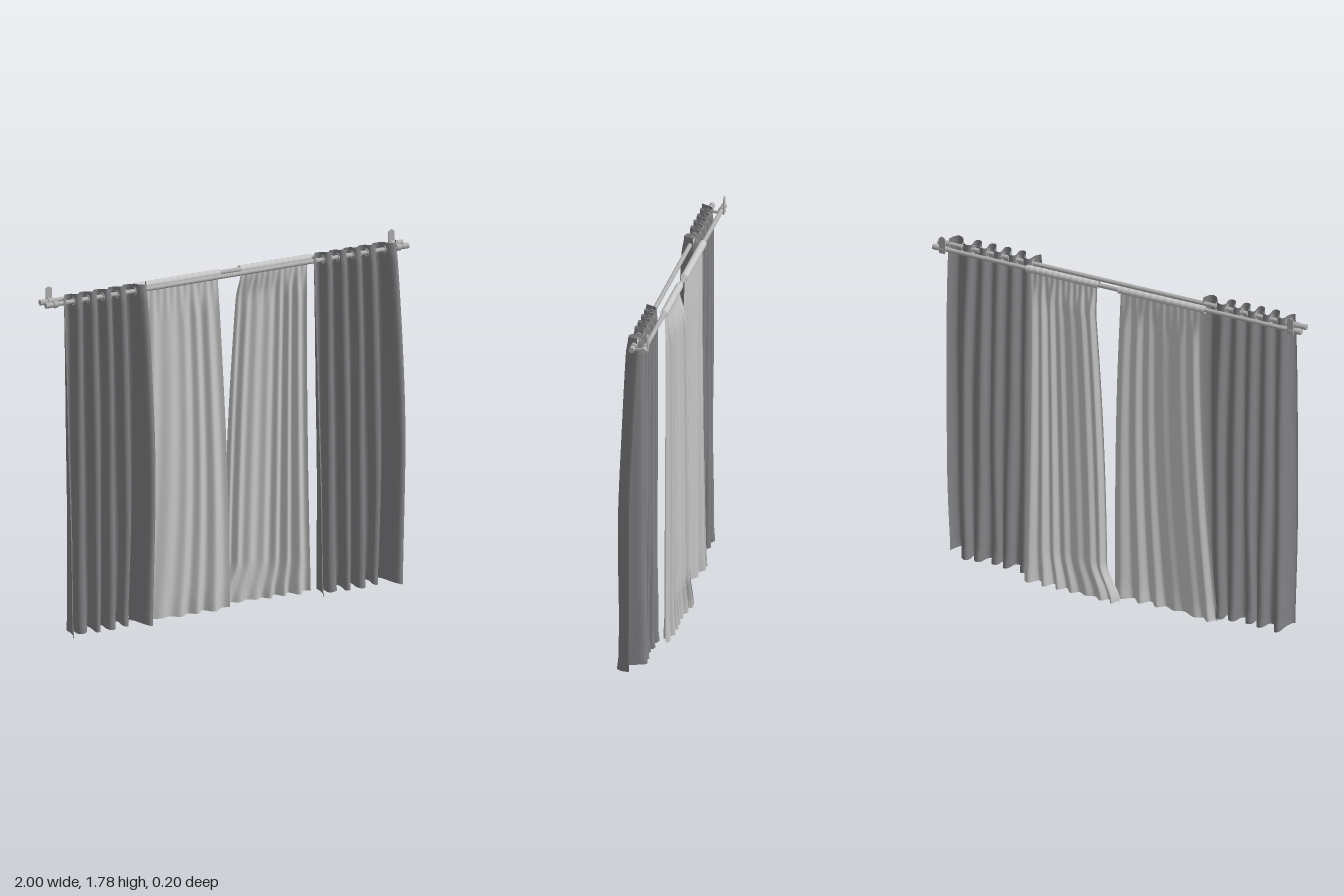
import * as THREE from 'three';

const heavyMat = new THREE.MeshStandardMaterial({ name: 'heavy drape grey', color: 0x828285, side: THREE.DoubleSide });
const sheerMat = new THREE.MeshStandardMaterial({ name: 'light curtain grey', color: 0xc8c8c8, side: THREE.DoubleSide });
const metalMat = new THREE.MeshStandardMaterial({ name: 'rod metal', color: 0xb0b0b0 });

const ROD_Y = 1.71, FRONT_Z = 0.01, BACK_Z = -0.048;
const { lerp, smoothstep } = THREE.MathUtils;

// Quadratic through a (v = 0), b (v = 0.5) and c (v = 1)
const quad = (a, b, c, v) => a * (1 - v) * (1 - 2 * v) + 4 * b * v * (1 - v) + c * v * (2 * v - 1);

function add(group, name, geometry, material, x = 0, y = 0, z = 0) {
  const mesh = new THREE.Mesh(geometry, material);
  mesh.name = name;
  mesh.position.set(x, y, z);
  group.add(mesh);
  return mesh;
}

// Smooth cloth sheet: at(u, v) gives [x, y, z]; u runs across, v runs down
function cloth(at, nu, nv) {
  const geo = new THREE.PlaneGeometry(1, 1, nu, nv);
  const pos = geo.attributes.position;
  for (let j = 0, i = 0; j <= nv; j++) {
    for (let k = 0; k <= nu; k++, i++) pos.setXYZ(i, ...at(k / nu, j / nv));
  }
  geo.computeVertexNormals();
  return geo;
}

function rodAlongX(radius, length, sides = 20) {
  return new THREE.CylinderGeometry(radius, radius, length, sides).rotateZ(Math.PI / 2);
}

// Heavy drape: pleats weaving round the front rod; c counts pleats across.
// The last, wide pleat turns back on itself at the edge.
const PLEATS = 5.42;
function pleatX(c) {
  if (c < 0.5) return lerp(0, 0.11, c / 0.5);
  if (c < 4.5) return lerp(0.11, 0.78, (c - 0.5) / 4);
  if (c < 5) return lerp(0.78, 0.93, (c - 4.5) / 0.5);
  return lerp(0.93, 1, Math.sin((c - 5) / (PLEATS - 5) * Math.PI / 2));
}

function drapePoint(c, v) {
  const p = c * Math.PI * 2, u = c / PLEATS;
  const left = quad(-0.92, -0.912, -0.895, v);
  const right = quad(-0.443, -0.413, -0.43, v);
  const inner = smoothstep(c, 0, 0.5) * (1 - smoothstep(c, 4.5, 5));
  const hem = smoothstep(v, 0.96, 1);
  const sway = 0.008 * v * Math.sin(u * 17 + v * 3);
  const x = lerp(left, right, pleatX(c)) + inner * (0.007 * Math.sin(2 * p) + sway);
  const amp = lerp(0.026, 0.034, smoothstep(v, 0, 0.05)) + 0.006 * v * Math.sin(u * 23 + 1) + 0.006 * hem;
  const flare = (1 - inner) * (0.008 + 0.04 * Math.sin(Math.min(v * 1.4, 1) * Math.PI / 2));
  const z = FRONT_Z + amp * Math.cos(p) + flare + 0.004 * v * Math.sin(v * 11 + u * 9);
  const top = 1.748 + 0.006 * Math.cos(p) * inner;
  const bottom = 0.02 + 0.006 * Math.sin(u * 31);
  return [x, lerp(top, bottom, v), z];
}

function makeDrape(name, offset) {
  const g = new THREE.Group();
  g.name = name;
  g.position.x = offset;
  add(g, 'drapeCloth', cloth((u, v) => drapePoint(u * PLEATS, v), 170, 80), heavyMat);
  // Eyelets where the cloth crosses the rod
  const ring = new THREE.TorusGeometry(0.019, 0.003, 8, 20).rotateY(Math.PI / 2);
  for (let c = 0.25; c < 5; c += 0.5) {
    add(g, 'eyelet', ring, metalMat, drapePoint(c, 0.02)[0], ROD_Y, FRONT_Z);
  }
  return g;
}

// Light curtain: gathered on the back rod, folds sweeping sideways at the floor
function makeSheer(name, o) {
  const g = new THREE.Group();
  g.name = name;
  const at = (u, v) => {
    const p = u * o.folds * Math.PI * 2 + 0.8 * Math.sin(u * 9) - 0.5 * v;
    const gather = 0.0025 * Math.sin(u * 75) * (1 - smoothstep(v, 0, 0.15));
    const hem = smoothstep(v, 0.93, 1);
    const depth = smoothstep(v, 0, 0.12) * (o.depth + 0.006 * v + 0.005 * hem) * (0.75 + 0.35 * Math.sin(u * 7 + 2));
    const x = lerp(o.left(v), o.right(v), u) - 0.03 * v ** 3 * Math.sin(u * Math.PI);
    const z = lerp(BACK_Z, o.floorZ(u), smoothstep(v, 0, o.drop)) + depth * Math.sin(p) + gather;
    const bottom = 0.003 + 0.002 * (1 + Math.sin(u * 19));
    return [x, lerp(1.7, bottom, v), z];
  };
  add(g, 'curtainCloth', cloth(at, 160, 60), sheerMat);
  // Rod pocket with small gathers
  const [a, b] = o.pocket;
  const pocket = cloth((u, v) => {
    const r = 0.0185 + 0.0008 * Math.sin(u * 75) * Math.sin(v * Math.PI);
    const t = v * Math.PI * 2 - Math.PI / 2;
    return [lerp(a, b, u), ROD_Y + r * Math.sin(t), BACK_Z + r * Math.cos(t)];
  }, 120, 20);
  add(g, 'rodPocket', pocket, sheerMat);
  return g;
}

// Wall bracket: rounded plate, arm and a collar on each rod
function makeBracket(name, x) {
  const g = new THREE.Group();
  g.name = name;
  g.position.x = x;
  const s = new THREE.Shape();
  s.moveTo(-0.017, 1.69);
  s.lineTo(0.017, 1.69);
  s.lineTo(0.017, 1.763);
  s.absarc(0, 1.763, 0.017, 0, Math.PI, false);
  s.closePath();
  add(g, 'wallPlate', new THREE.ExtrudeGeometry(s, { depth: 0.005, bevelEnabled: false, curveSegments: 10 }), metalMat, 0, 0, -0.062);
  add(g, 'arm', new THREE.BoxGeometry(0.016, 0.01, 0.078), metalMat, 0, 1.697, -0.021);
  for (const z of [FRONT_Z, BACK_Z]) add(g, 'rodCollar', rodAlongX(0.016, 0.024), metalMat, 0, ROD_Y, z);
  return g;
}

export function createModel() {
  const model = new THREE.Group();
  model.name = 'doubleCurtains';

  // Rods with end caps
  for (const [name, z] of [['frontRod', FRONT_Z], ['backRod', BACK_Z]]) {
    add(model, name, rodAlongX(0.011, 1.96), metalMat, 0, ROD_Y, z);
    for (const side of [-1, 1]) add(model, 'rodEndCap', rodAlongX(0.014, 0.034), metalMat, side * 0.983, ROD_Y, z);
  }
  model.add(makeBracket('rightBracket', -0.945), makeBracket('leftBracket', 0.945));

  model.add(makeDrape('rightDrape', 0), makeDrape('leftDrape', 1.378));

  model.add(makeSheer('rightLightCurtain', {
    folds: 6, depth: 0.009, drop: 1, pocket: [-0.48, -0.01],
    left: v => quad(-0.46, -0.48, -0.55, v),
    right: v => quad(-0.02, 0.018, 0.03, v),
    floorZ: u => lerp(-0.045, -0.012, smoothstep(u, 0, 0.6)),
  }));
  model.add(makeSheer('leftLightCurtain', {
    folds: 7, depth: 0.012, drop: 0.09, pocket: [0.1, 0.49],
    left: v => 0.035 + 0.075 * (1 - v) * (1 - v) - 0.07 * smoothstep(v, 0.88, 1),
    right: v => quad(0.475, 0.48, 0.5, v),
    floorZ: u => lerp(-0.08, -0.055, u),
  }));
  return model;
}
